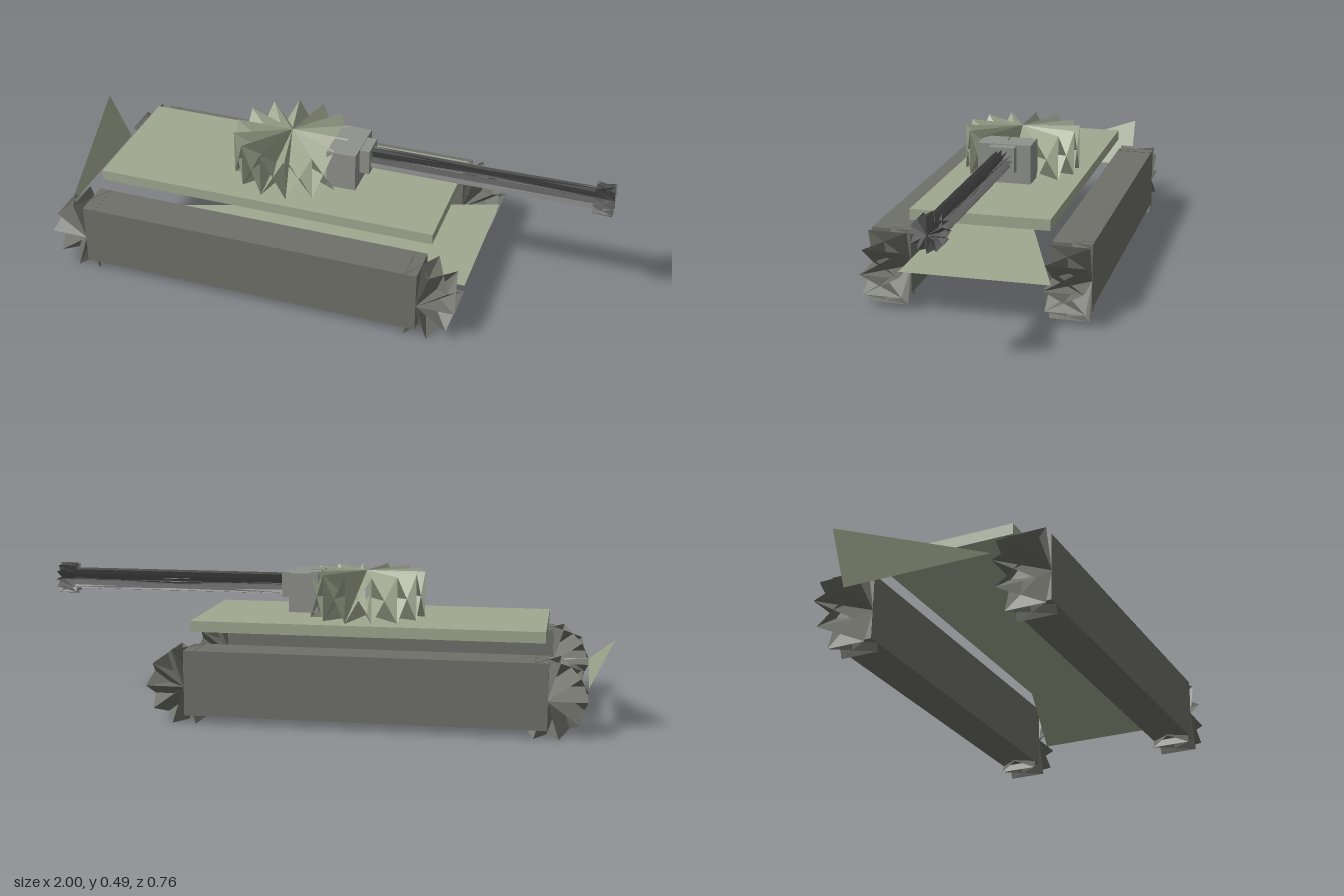
import * as THREE from 'three';

const material = (color) => new THREE.MeshStandardMaterial({ color, flatShading: true, side: THREE.DoubleSide });
const green = material(0xa0a890);
const trackGrey = material(0x70706a);
const gunGrey = material(0x5c5c5c);
const mountGrey = material(0x8f918c);

// Mesh from a list of corner points, three per triangle
function facets(name, points, mat) {
  const geometry = new THREE.BufferGeometry();
  geometry.setAttribute('position', new THREE.Float32BufferAttribute(points.flat(), 3));
  geometry.computeVertexNormals();
  const mesh = new THREE.Mesh(geometry, mat);
  mesh.name = name;
  return mesh;
}

// Ratchet-toothed drum along y: slanted blades run from each end's centre
// to the rim, dropping to the opposite end, with an upright fin between them
function toothedDrum(name, radius, length, sides, mat) {
  const points = [];
  const rim = (i, y) => {
    const a = (i / sides) * Math.PI * 2;
    return [radius * Math.cos(a), y, radius * Math.sin(a)];
  };
  for (const end of [length / 2, -length / 2]) {
    const centre = [0, end, 0];
    for (let i = 0; i < sides; i++) {
      points.push(centre, rim(i + 1, -end), rim(i, end));
      points.push(centre, rim(i + 1, end), rim(i + 1, -end));
    }
  }
  return facets(name, points, mat);
}

// Box given by its limits on each axis
function box(name, [x0, x1], [y0, y1], [z0, z1], mat) {
  const mesh = new THREE.Mesh(new THREE.BoxGeometry(x1 - x0, y1 - y0, z1 - z0), mat);
  mesh.position.set((x0 + x1) / 2, (y0 + y1) / 2, (z0 + z1) / 2);
  mesh.name = name;
  return mesh;
}

export function createModel() {
  const model = new THREE.Group();
  model.name = 'tank';

  // Tracks: a long block with a toothed wheel at each end
  for (const side of [1, -1]) {
    const track = new THREE.Group();
    track.name = side > 0 ? 'leftTrack' : 'rightTrack';
    track.add(box('trackBlock', [-0.79, 0.432], [0.028, 0.252], [-0.0675, 0.0675], trackGrey));
    for (const x of [-0.787, 0.432]) {
      const wheel = toothedDrum('trackWheel', 0.133, 0.135, 10, trackGrey);
      wheel.rotation.x = Math.PI / 2;
      wheel.position.set(x, 0.127, 0);
      track.add(wheel);
    }
    track.position.z = side * 0.3105;
    model.add(track);
  }

  // Thin three-cornered floor and tail plates
  const rearCorner = [-0.92, 0.15, 0.243];
  model.add(facets('floorPlate', [rearCorner, [0.565, 0.15, 0.243], [0.565, 0.15, -0.27]], green));
  model.add(facets('tailPlate', [rearCorner, [-0.92, 0.15, -0.27], [-1, 0.318, -0.27]], green));

  // Deck and turret
  model.add(box('deck', [-0.775, 0.445], [0.292, 0.33], [-0.24, 0.24], green));
  const turret = toothedDrum('turret', 0.207, 0.16, 14, green);
  turret.position.set(-0.138, 0.41, 0);
  model.add(turret);

  // Gun mount, barrel and muzzle
  model.add(box('gunMount', [0.02, 0.125], [0.347, 0.485], [-0.094, 0.094], mountGrey));
  model.add(box('barrelCollar', [0.125, 0.16], [0.392, 0.482], [-0.045, 0.045], mountGrey));
  for (const [name, radius, x0, x1] of [['barrel', 0.038, 0.14, 0.99], ['muzzle', 0.056, 0.935, 1]]) {
    const part = toothedDrum(name, radius, x1 - x0, 12, gunGrey);
    part.rotation.z = -Math.PI / 2;
    part.position.set((x0 + x1) / 2, 0.436, 0);
    model.add(part);
  }
  return model;
}
